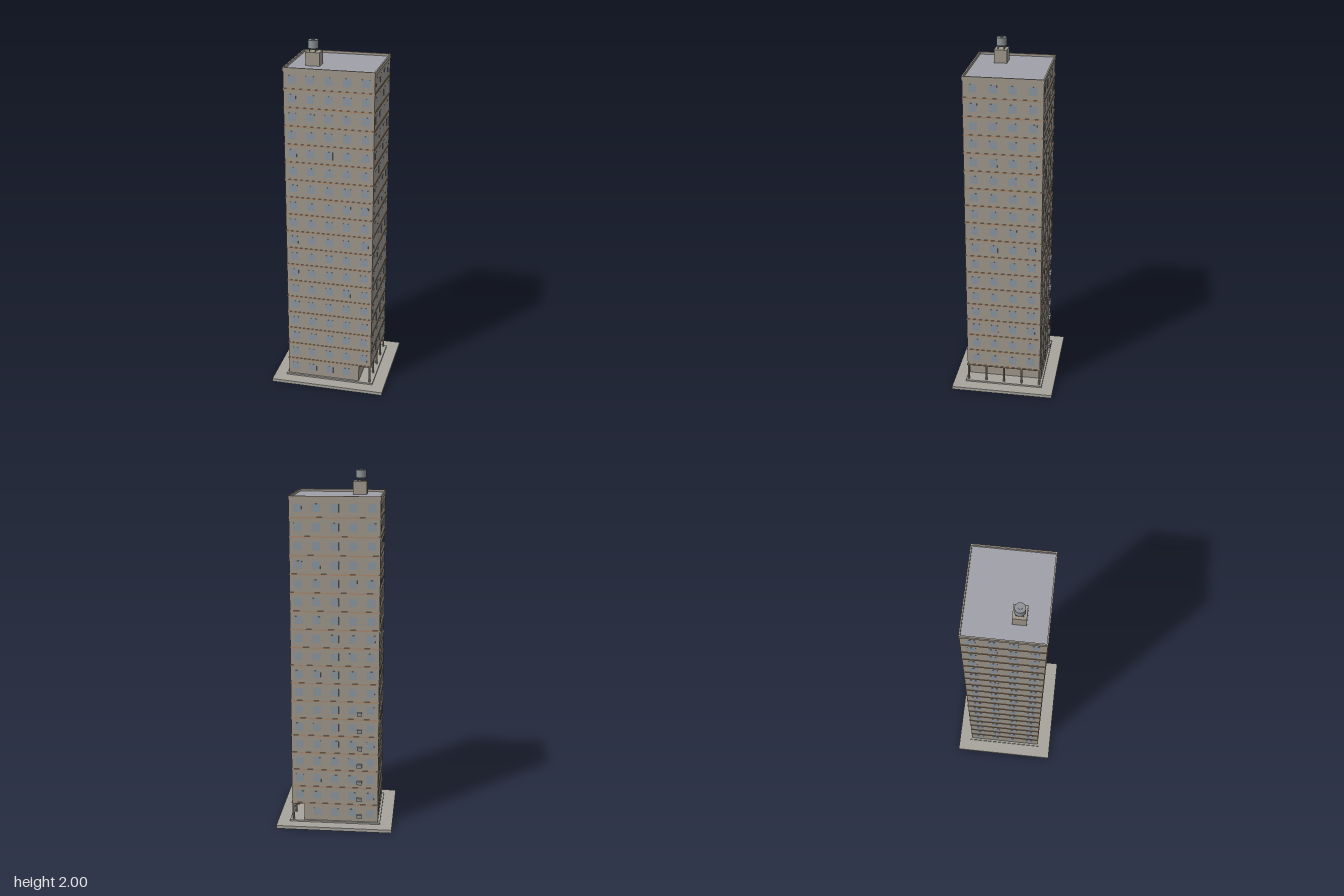
import * as THREE from 'three';
import { mergeGeometries } from 'three/addons/utils/BufferGeometryUtils.js';

const material = (color) => new THREE.MeshStandardMaterial({ color, flatShading: true });
const wall = material(0x9f978b);
const ledge = material(0xa98a70);
const glass = material(0x8b95a0);
const paving = material(0xa6a49d);
const roofing = material(0xa0a0a9);
const metal = material(0x8d9296);

const W = 0.246, D = 0.214;          // half width and half depth of the tower
const BASE = 0.027, FLOOR = 0.102, FLOORS = 18;
const LOBBY = BASE + 0.1;            // underside of the overhanging floors
const ROOF = LOBBY + FLOOR * (FLOORS - 1);

// Box geometry given by its limits on each axis
function block(x0, x1, y0, y1, z0, z1) {
  return new THREE.BoxGeometry(x1 - x0, y1 - y0, z1 - z0)
    .translate((x0 + x1) / 2, (y0 + y1) / 2, (z0 + z1) / 2);
}

function cylinder(r, y0, y1, x, z, sides) {
  return new THREE.CylinderGeometry(r, r, y1 - y0, sides).translate(x, (y0 + y1) / 2, z);
}

// Rectangular ring lying flat, used for ledges and the parapet
function ring(w, d, thickness, y0, y1) {
  const shape = new THREE.Shape([[-w, -d], [w, -d], [w, d], [-w, d]].map((p) => new THREE.Vector2(...p)));
  const a = w - thickness, b = d - thickness;
  shape.holes.push(new THREE.Path([[-a, -b], [-a, b], [a, b], [a, -b]].map((p) => new THREE.Vector2(...p))));
  return new THREE.ExtrudeGeometry(shape, { depth: y1 - y0, bevelEnabled: false })
    .rotateX(-Math.PI / 2).translate(0, y0, 0);
}

export function createModel() {
  const model = new THREE.Group();
  model.name = 'towerBlock';
  const add = (name, geometry, mat) => {
    const mesh = new THREE.Mesh(geometry, mat);
    mesh.name = name;
    model.add(mesh);
  };

  // Pavement and plinth
  add('pavement', block(-0.328, 0.328, 0, 0.018, -0.294, 0.294), paving);
  add('plinth', block(-0.258, 0.258, 0.018, BASE, -0.225, 0.225), paving);

  // Recessed ground floor and the storeys above it
  add('groundFloor', block(-W, 0.175, BASE, LOBBY, -D, D), wall);
  add('upperFloors', block(-W, W, LOBBY, ROOF, -D, D), wall);

  // Arcade columns under the overhang
  const columns = [];
  for (let i = -2; i <= 2; i++) columns.push(cylinder(0.006, BASE, LOBBY, 0.239, i * 0.105, 10));
  add('arcadeColumns', mergeGeometries(columns), wall);

  // Ledges at every floor line
  const ledges = [];
  for (let i = 0; i < FLOORS - 1; i++) {
    const y = LOBBY + i * FLOOR;
    ledges.push(ring(W + 0.003, D + 0.003, 0.006, y - 0.002, y + 0.005));
  }
  add('floorLedges', mergeGeometries(ledges), ledge);

  // Windows: five across front and back, four across the sides
  const panes = [];
  const s = 0.022, t = 0.001;
  for (let floor = 0; floor < FLOORS; floor++) {
    const y = BASE + 0.052 + floor * FLOOR;
    for (const side of [-1, 1]) {
      for (let i = -2; i <= 2; i++) {
        if (floor === 0 && i === 2) continue;
        const x = i * 0.1, z = side * D;
        panes.push(block(x - s, x + s, y - s, y + s, z - t, z + t));
      }
      if (floor === 0 && side === 1) continue;
      for (const z of [-0.159, -0.053, 0.053, 0.159]) {
        const x = side * W;
        panes.push(block(x - t, x + t, y - s, y + s, z - s, z + s));
      }
    }
  }
  add('windows', mergeGeometries(panes), glass);

  // Roof deck and parapet
  add('roofDeck', block(-W + 0.003, W - 0.003, ROOF - 0.004, ROOF + 0.002, -D + 0.003, D - 0.003), roofing);
  add('parapet', ring(W + 0.003, D + 0.003, 0.008, ROOF - 0.006, 1.876), wall);

  // Air conditioning units on the lower back wall
  const units = [];
  for (let i = 0; i < 7; i++) {
    const y = 0.061 + i * FLOOR;
    units.push(block(-0.153, -0.125, y - 0.01, y + 0.01, -0.228, -D));
  }
  add('airConditioners', mergeGeometries(units), metal);

  // Roof house with a water tank standing on legs
  const tx = -0.115, tz = 0.067;
  add('roofHouse', block(tx - 0.039, tx + 0.039, ROOF, 1.935, tz - 0.036, tz + 0.036), wall);
  const cx = -0.119, legs = [];
  for (const dx of [-0.017, 0.017]) {
    for (const dz of [-0.017, 0.017]) legs.push(cylinder(0.003, 1.935, 1.956, cx + dx, tz + dz, 8));
  }
  add('tankLegs', mergeGeometries(legs), metal);
  add('waterTank', cylinder(0.028, 1.953, 1.996, cx, tz, 24), metal);
  add('tankHatch', cylinder(0.01, 1.996, 2, cx, tz, 16), metal);

  return model;
}
